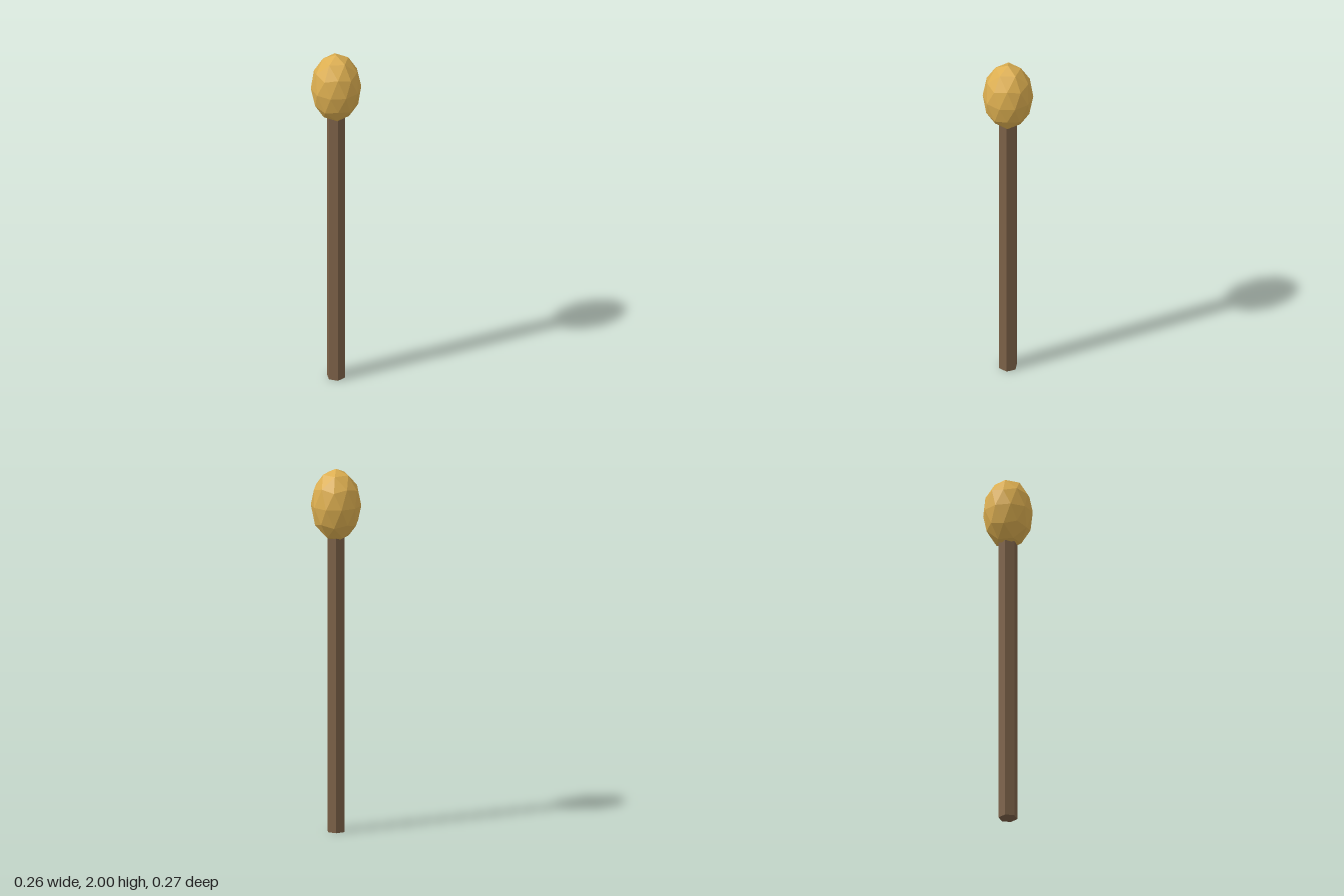
import * as THREE from 'three';

export function createModel() {
  const model = new THREE.Group();

  const addPart = (name, geometry, color, y) => {
    const material = new THREE.MeshStandardMaterial({ color, flatShading: true });
    const mesh = new THREE.Mesh(geometry, material);
    mesh.name = name;
    mesh.position.y = y;
    model.add(mesh);
  };

  // Six-sided shaft, its top tucked inside the head
  const shaftHeight = 1.64;
  addPart('shaft', new THREE.CylinderGeometry(0.051, 0.051, shaftHeight, 6), 0x7d6248, shaftHeight / 2);

  // Faceted egg-shaped head, turned so that one corner points straight up
  const golden = (1 + Math.sqrt(5)) / 2;
  const head = new THREE.IcosahedronGeometry(1, 1);
  head.rotateZ(-Math.atan(1 / golden));
  head.scale(0.136, 0.2, 0.136);
  addPart('head', head, 0xdcae50, 1.8);

  return model;
}
